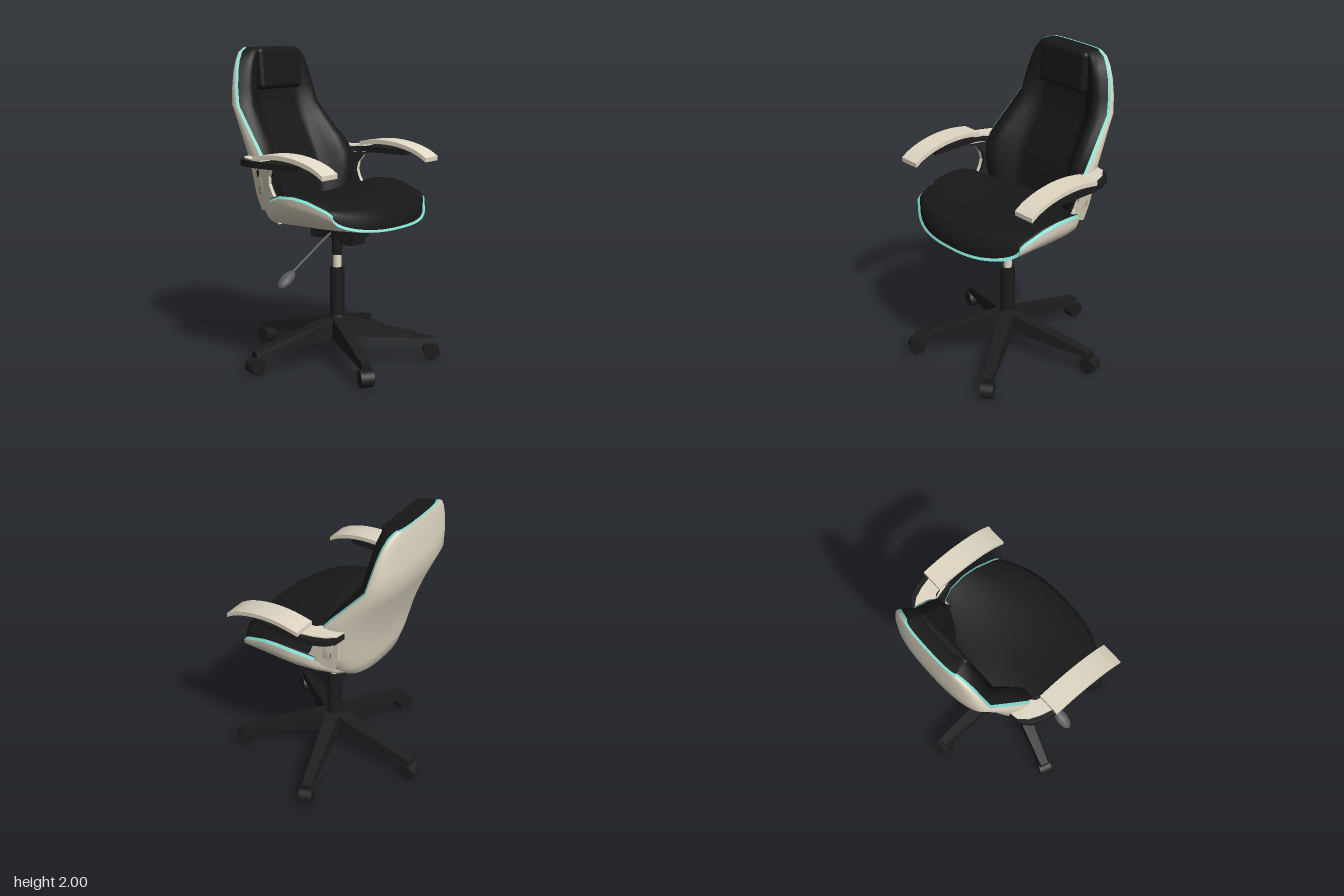
import * as THREE from 'three';
import { RoundedBoxGeometry } from 'three/addons/geometries/RoundedBoxGeometry.js';

const mat = (name, color, side = THREE.FrontSide) =>
  Object.assign(new THREE.MeshStandardMaterial({ color, side }), { name });
const fabric = mat('black fabric', 0x181818, THREE.DoubleSide);
const plastic = mat('black plastic', 0x1c1c1c);
const cream = mat('cream shell', 0xe1d8c4, THREE.DoubleSide);
const teal = mat('teal piping', 0x80dccf, THREE.DoubleSide);
const grey = mat('grey lever', 0x58585a);

const V = (x, y, z) => new THREE.Vector3(x, y, z);

function add(parent, name, geo, material, x = 0, y = 0, z = 0) {
  const m = new THREE.Mesh(geo, material);
  m.name = name;
  m.position.set(x, y, z);
  parent.add(m);
  return m;
}

// Rounded-box cross-section: across runs -1..1, rise runs 0 (middle) to 1 (edges)
function scoop(u) {
  const t = u * Math.PI / 2;
  return { across: Math.sign(u) * Math.abs(Math.sin(t)) ** 0.8, rise: 1 - Math.max(0, Math.cos(t)) ** 0.8 };
}

// Surface through rows of points; point(row, u) with u running -1..1
function sheet(rows, point, n = 32) {
  const pos = [], idx = [];
  rows.forEach((r, j) => {
    for (let i = 0; i <= n; i++) {
      pos.push(...point(r, -1 + 2 * i / n, j).toArray());
      if (j && i) {
        const d = j * (n + 1) + i, b = d - n - 1;
        idx.push(b - 1, b, d, b - 1, d, d - 1);
      }
    }
  });
  const g = new THREE.BufferGeometry();
  g.setAttribute('position', new THREE.Float32BufferAttribute(pos, 3));
  g.setIndex(idx);
  g.computeVertexNormals();
  return g;
}

// Narrow band from a path to its inset copy
function ribbon(path, inset) {
  const n = path.length - 1;
  return sheet([0, 1], (k, u) => {
    const p = path[Math.round((u + 1) / 2 * n)];
    return k ? inset(p) : p;
  }, n);
}

// Side profile given as [z, y], spanning x0..x1
function sideExtrude(pts, x0, x1) {
  const s = new THREE.Shape(pts.map(p => new THREE.Vector2(...p)));
  return new THREE.ExtrudeGeometry(s, { depth: x1 - x0, bevelEnabled: false }).rotateY(-Math.PI / 2).translate(x1, 0, 0);
}
// Plan outline given as [x, z], spanning y0..y1
function planExtrude(pts, side, y0, y1) {
  const s = new THREE.Shape(pts.map(([x, z]) => new THREE.Vector2(side * x, -z)));
  return new THREE.ExtrudeGeometry(s, { depth: y1 - y0, bevelEnabled: false }).rotateX(-Math.PI / 2).translate(0, y0, 0);
}

function buildSeat(g) {
  // z, bow, half width, bottom, rim height, cushion centre height
  const rows = [
    [0.54, 0.15, 0.49, 0.915, 1.03, 1.00],
    [0.49, 0.13, 0.50, 0.905, 1.05, 1.06],
    [0.30, 0.08, 0.518, 0.89, 1.10, 1.085],
    [0.15, 0.03, 0.522, 0.885, 1.115, 1.085],
    [0, 0, 0.512, 0.885, 1.11, 1.08],
    [-0.12, 0, 0.46, 0.88, 1.07, 1.07],
    [-0.22, 0, 0.37, 0.88, 1.00, 1.05],
    [-0.29, 0, 0.26, 0.885, 0.97, 1.04],
  ];
  const shell = ([z, bow, w, b, s], u) => {
    const { across, rise } = scoop(u);
    return V(across * w, b + (s - b) * rise, z - bow * Math.abs(across) ** 2.6);
  };
  add(g, 'seatShell', sheet([...rows].reverse(), shell), cream);

  // Piping follows the rim round the front
  const inset = p => V(p.x * 0.967, p.y + 0.014, p.z - 0.008);
  const path = [];
  for (let j = 5; j > 0; j--) path.push(shell(rows[j], -1));
  for (let i = 0; i <= 32; i++) path.push(shell(rows[0], -1 + i / 16));
  for (let j = 1; j < 6; j++) path.push(shell(rows[j], 1));
  add(g, 'seatPiping', ribbon(path, inset), teal);

  // Cushion rises from the piping and crowns towards the sides
  const cushion = (r, u) => {
    const p = inset(shell(r, u)), { across } = scoop(u);
    if (Math.abs(u) < 0.95) p.y = r[5] + (r[4] + 0.02 - r[5]) * across * across;
    return p;
  };
  add(g, 'seatCushion', sheet([rows[0], ...rows], (r, u, j) =>
    j ? cushion(r, u) : inset(shell(r, u))), fabric);
}

function buildBack(g) {
  // y, half width, shell rear z, edge z, cushion centre z, bolster z
  const rows = [
    [0.88, 0.22, -0.27, -0.24, -0.22, -0.20],
    [0.91, 0.28, -0.335, -0.215, -0.22, -0.19],
    [1.00, 0.385, -0.355, -0.165, -0.22, -0.15],
    [1.10, 0.435, -0.375, -0.145, -0.235, -0.13],
    [1.20, 0.452, -0.40, -0.145, -0.26, -0.13],
    [1.30, 0.457, -0.435, -0.165, -0.29, -0.145],
    [1.40, 0.444, -0.47, -0.24, -0.335, -0.20],
    [1.52, 0.417, -0.52, -0.345, -0.39, -0.29],
    [1.64, 0.392, -0.57, -0.445, -0.435, -0.375],
    [1.75, 0.374, -0.572, -0.47, -0.45, -0.40],
    [1.85, 0.347, -0.57, -0.49, -0.455, -0.415],
    [1.92, 0.315, -0.567, -0.505, -0.46, -0.425],
    [1.97, 0.275, -0.564, -0.52, -0.46, -0.435],
    [1.997, 0.215, -0.56, -0.535, -0.46, -0.445],
  ];
  const shell = ([y, w, zb, ze], u) => {
    const { across, rise } = scoop(u);
    return V(across * w, y, zb + (ze - zb) * rise);
  };
  add(g, 'backShell', sheet([...rows].reverse(), shell), cream);

  // Piping runs up one edge, across the top and down the other
  const top = rows[rows.length - 1], upper = rows.slice(5, -1), path = [];
  const inset = p => V(p.x * 0.967, p.y + 0.001, p.z + 0.014);
  for (const r of upper) path.push(shell(r, -1));
  for (let i = 0; i <= 12; i++) path.push(shell(top, -1 + i / 6));
  for (const r of upper.reverse()) path.push(shell(r, 1));
  add(g, 'backPiping', ribbon(path, inset), teal);

  // Cushion with raised side bolsters, closed over the top
  const cushion = ([y, w, , ze, zc, zm], u) => {
    const a = Math.abs(u);
    const k = THREE.MathUtils.smoothstep(a, 0.45, 0.82), e = Math.max(0, (a - 0.82) / 0.18);
    return V(u * w * 0.967, y, zc + (zm - zc) * k + (ze + 0.014 - zm) * e * e);
  };
  const front = rows.slice(2);
  add(g, 'backCushion', sheet([...front, top], (r, u, j) =>
    j < front.length ? cushion(r, u) : inset(shell(r, u))), fabric);

  const head = add(g, 'headrest', new RoundedBoxGeometry(0.4, 0.265, 0.08, 4, 0.03), fabric, 0, 1.863, -0.442);
  head.rotation.x = -0.1;
}

function buildArm(g, side) {
  const arm = new THREE.Group();
  arm.name = side > 0 ? 'leftArm' : 'rightArm';
  g.add(arm);
  const span = (a, b) => side > 0 ? [a, b] : [-b, -a];

  // Curved pad drooping at the front
  const mid = new THREE.SplineCurve([[-0.12, 1.35], [0, 1.367], [0.12, 1.367], [0.24, 1.348], [0.34, 1.315], [0.41, 1.275]]
    .map(p => new THREE.Vector2(...p))).getPoints(20);
  const pad = [...mid.map(p => [p.x, p.y + 0.016]), ...mid.reverse().map(p => [p.x, p.y - 0.012])];
  add(arm, 'armPad', sideExtrude(pad, ...span(0.463, 0.61)), cream);

  // Dark carrier curving round from the back, with a light cover
  add(arm, 'armCarrier', planExtrude([[0.42, -0.325], [0.5, -0.315], [0.55, -0.27], [0.585, -0.2], [0.6, -0.1],
    [0.6, 0.22], [0.48, 0.24], [0.48, -0.1], [0.46, -0.15], [0.42, -0.2]], side, 1.295, 1.332), plastic);
  add(arm, 'armCover', planExtrude([[0.42, -0.32], [0.475, -0.31], [0.52, -0.26], [0.55, -0.19], [0.575, -0.09],
    [0.475, -0.09], [0.46, -0.15], [0.42, -0.19]], side, 1.332, 1.34), cream);

  // Bracket leaning in towards the shell and seat, with dark lining along its front
  const lean = geo => {
    const p = geo.attributes.position;
    for (let i = 0; i < p.count; i++)
      p.setX(i, p.getX(i) - side * (0.18 * (1.29 - p.getY(i)) + 0.27 * (-0.05 - p.getZ(i))));
    geo.computeVertexNormals();
    return geo;
  };
  const curve = [[-0.03, 1.295], [-0.085, 1.275], [-0.115, 1.23], [-0.12, 1.18], [-0.1, 1.13], [-0.07, 1.085]];
  const bracket = [...curve, [-0.16, 1.03], [-0.23, 1.0], [-0.27, 1.1], [-0.29, 1.295]];
  const lining = [...curve, [-0.13, 1.07], [-0.16, 1.18], [-0.15, 1.295]];
  add(arm, 'armBracket', lean(sideExtrude(bracket, ...span(0.475, 0.502))), cream);
  add(arm, 'bracketLining', lean(sideExtrude(lining, ...span(0.455, 0.475))), plastic);
  add(arm, 'bracketSlot', lean(sideExtrude([[-0.21, 1.27], [-0.235, 1.25], [-0.225, 1.1]], ...span(0.5, 0.504))), plastic);
}

function buildMechanism(g) {
  const box = (name, w, h, d, x, y, z) => add(g, name, new THREE.BoxGeometry(w, h, d), plastic, x, y, z);
  box('mountPlate', 0.23, 0.024, 0.54, 0, 0.876, 0.03);
  box('tiltHousing', 0.17, 0.05, 0.34, 0, 0.84, 0.07);
  box('tensionBox', 0.14, 0.05, 0.1, 0, 0.8, 0.17);
  box('pivotBlock', 0.2, 0.03, 0.08, 0.01, 0.82, -0.05);

  const cyl = (name, rt, rb, y0, y1, m) =>
    add(g, name, new THREE.CylinderGeometry(rt, rb, y1 - y0, 24), m, 0, (y0 + y1) / 2, 0.05);
  cyl('columnCollar', 0.036, 0.032, 0.69, 0.82, plastic);
  cyl('gasLift', 0.027, 0.027, 0.58, 0.7, cream);
  cyl('column', 0.046, 0.048, 0.26, 0.61, plastic);

  // Height lever with a flattened paddle
  const rod = new THREE.CatmullRomCurve3([V(-0.06, 0.85, 0.06), V(-0.12, 0.825, 0.06), V(-0.48, 0.645, 0.06)]);
  add(g, 'leverRod', new THREE.TubeGeometry(rod, 20, 0.008, 8), grey);
  const paddle = add(g, 'leverPaddle', new THREE.SphereGeometry(1, 20, 12), grey, -0.515, 0.618, 0.06);
  paddle.scale.set(0.08, 0.032, 0.04);
  paddle.rotation.z = 0.55;
}

function buildBase(g) {
  add(g, 'hub', new THREE.CylinderGeometry(0.05, 0.085, 0.13, 20), plastic, 0, 0.235, 0.05);
  for (let i = 0; i < 5; i++) {
    const leg = new THREE.Group();
    leg.name = 'baseLeg' + (i + 1);
    leg.position.z = 0.05;
    leg.rotation.y = Math.PI / 2 + i * Math.PI * 2 / 5;
    g.add(leg);

    // Tapered spoke
    const geo = new THREE.BoxGeometry(1, 1, 1).toNonIndexed(), p = geo.attributes.position;
    for (let k = 0; k < p.count; k++) {
      const t = p.getX(k) + 0.5, up = p.getY(k) > 0;
      const half = (0.06 - 0.026 * t) * (up ? 0.8 : 1);
      p.setXYZ(k, 0.62 * t, up ? 0.295 - 0.148 * t : 0.165 - 0.055 * t, Math.sign(p.getZ(k)) * half);
    }
    geo.computeVertexNormals();
    add(leg, 'spoke', geo, plastic);

    // Wide caster with hood
    add(leg, 'casterStem', new THREE.CylinderGeometry(0.018, 0.018, 0.07, 12), plastic, 0.6, 0.1, 0);
    add(leg, 'casterWheel', new THREE.CylinderGeometry(0.048, 0.048, 0.076, 20).rotateX(Math.PI / 2), plastic, 0.607, 0.048, 0);
    const hood = new THREE.CylinderGeometry(0.057, 0.057, 0.084, 14, 1, false, 0, Math.PI)
      .rotateX(Math.PI / 2).rotateZ(Math.PI / 2 - 0.3);
    add(leg, 'casterHood', hood, plastic, 0.607, 0.05, 0);
  }
}

export function createModel() {
  const g = new THREE.Group();
  g.name = 'officeChair';
  buildSeat(g);
  buildBack(g);
  for (const side of [1, -1]) buildArm(g, side);
  buildMechanism(g);
  buildBase(g);
  return g;
}
